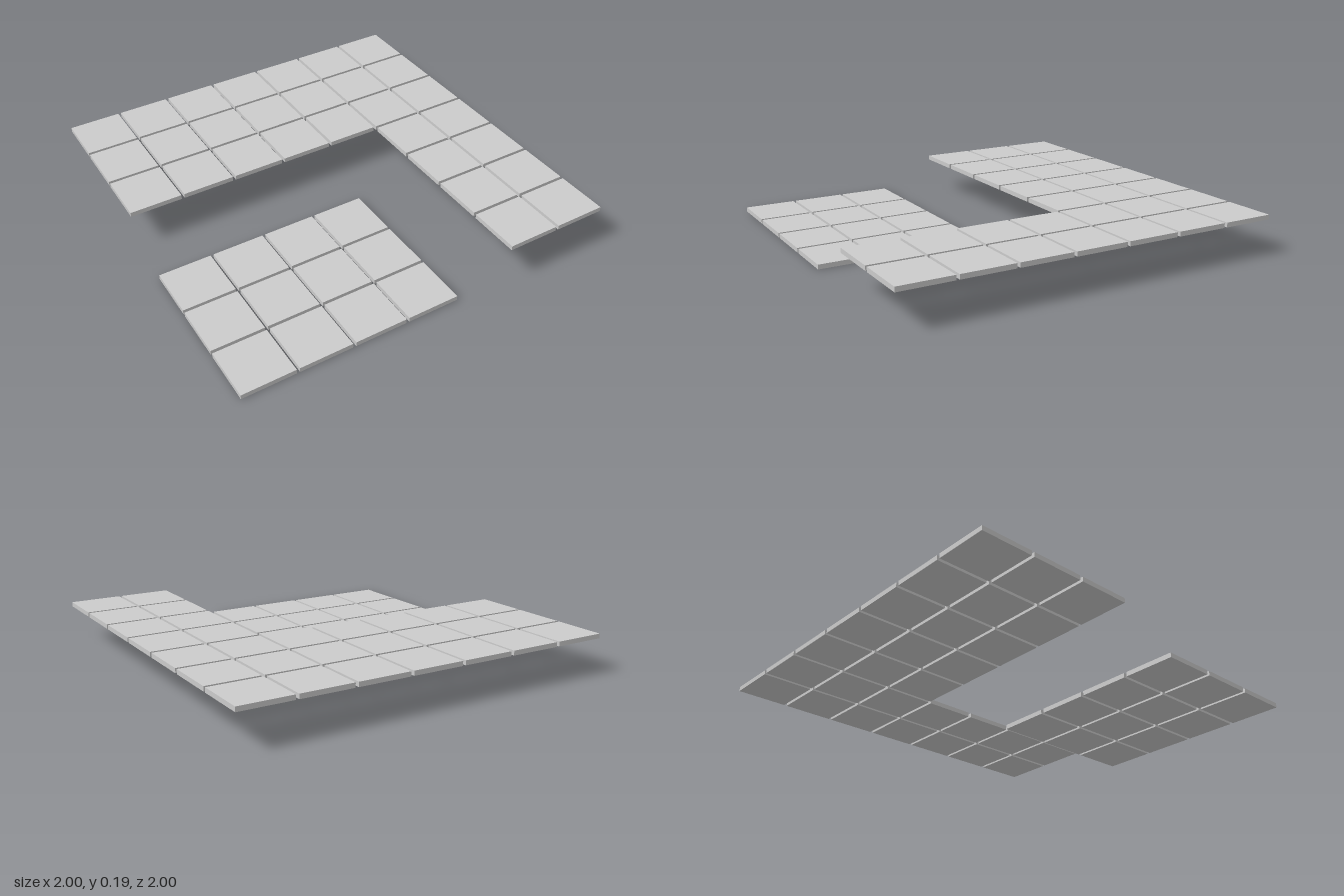
import * as THREE from 'three';

const COUNT = 7;              // tiles along each side of the full grid
const TILE = 0.272;           // tile width
const PITCH = (2 - TILE) / (COUNT - 1);
const THICK = 0.024;

export function createModel() {
  const model = new THREE.Group();
  model.name = 'tiledPlatforms';
  const material = new THREE.MeshStandardMaterial({ color: 0xcccccc });
  const tileGeometry = new THREE.BoxGeometry(TILE, THICK, TILE);

  // Lays a tile in every grid cell the rule accepts (column from -x, row from -z)
  function addPlatform(name, bottom, hasTile) {
    const platform = new THREE.Group();
    platform.name = name;
    platform.position.y = bottom + THICK / 2;
    for (let row = 0; row < COUNT; row++) {
      for (let col = 0; col < COUNT; col++) {
        if (!hasTile(col, row)) continue;
        const tile = new THREE.Mesh(tileGeometry, material);
        tile.name = 'floorTile';
        tile.position.set((col - 3) * PITCH, 0, (row - 3) * PITCH);
        platform.add(tile);
      }
    }
    model.add(platform);
  }

  // Raised L: three rows at the back, two columns along the left side
  addPlatform('upperPlatform', 0.17, (col, row) => row < 3 || col > 4);
  // Ground-level rectangle in the front right corner
  addPlatform('lowerPlatform', 0, (col, row) => row > 3 && col < 4);

  return model;
}
